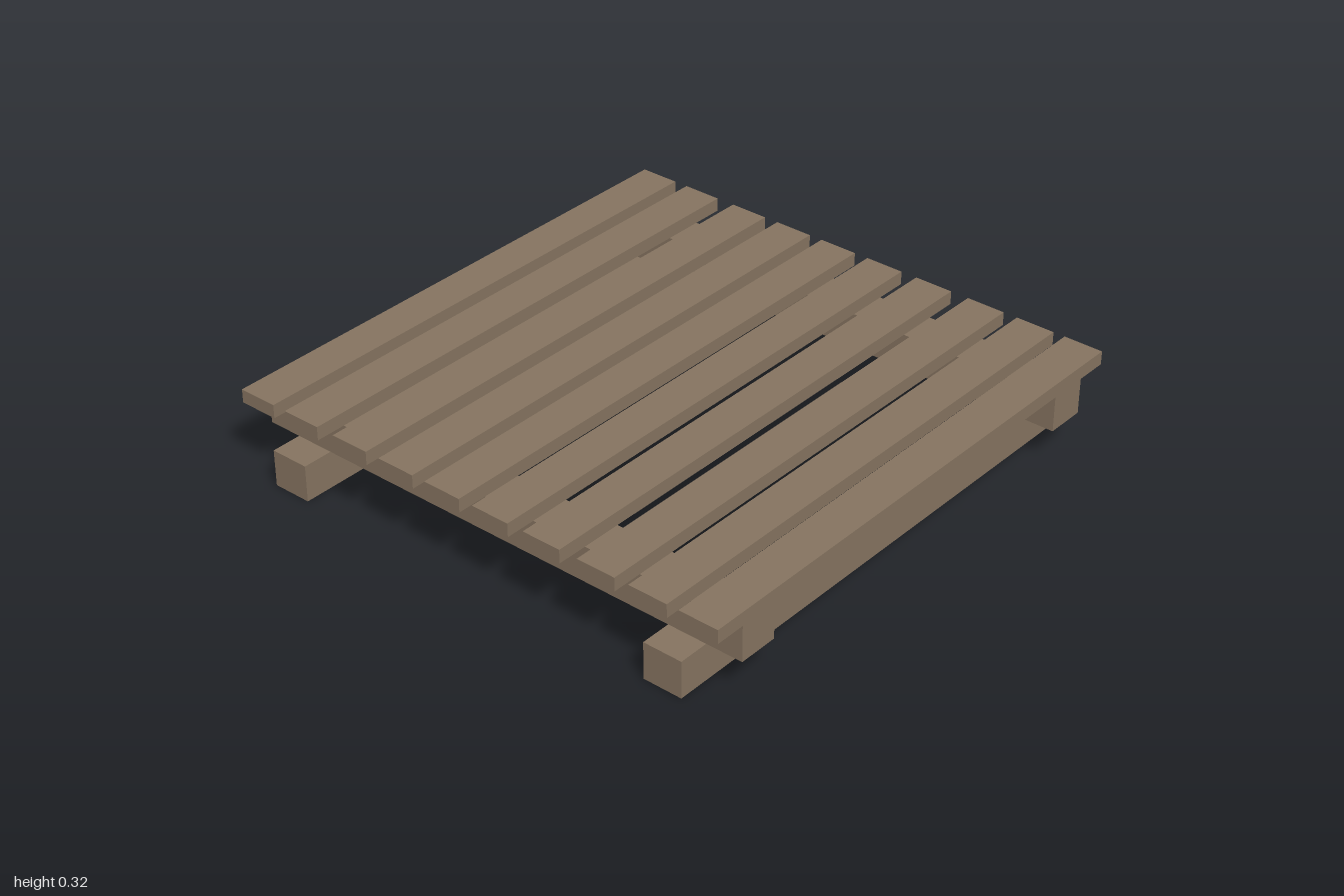
import * as THREE from 'three';

export function createModel() {
  const pallet = new THREE.Group();
  pallet.name = 'pallet';
  const wood = new THREE.MeshStandardMaterial({ color: 0x857360 });
  wood.name = 'weathered wood';

  function addBoard(name, width, height, depth, x, bottom, z) {
    const board = new THREE.Mesh(new THREE.BoxGeometry(width, height, depth), wood);
    board.name = name;
    board.position.set(x, bottom + height / 2, z);
    pallet.add(board);
  }

  // Ground beams running left to right
  addBoard('frontBeam', 2, 0.136, 0.147, 0, 0, 0.79);
  addBoard('backBeam', 2, 0.136, 0.147, 0, 0, -0.797);

  // Bearers running front to back on top of the beams
  addBoard('leftBearer', 0.149, 0.132, 2, 0.805, 0.136, 0);
  addBoard('rightBearer', 0.149, 0.132, 2, -0.812, 0.136, 0);

  // Deck slats, slightly unevenly spaced
  const slatCentres = [-0.926, -0.724, -0.504, -0.3, -0.1, 0.103, 0.314, 0.532, 0.734, 0.926];
  slatCentres.forEach((z, i) => addBoard(`slat${i + 1}`, 2, 0.05, 0.148, 0, 0.268, z));

  return pallet;
}
